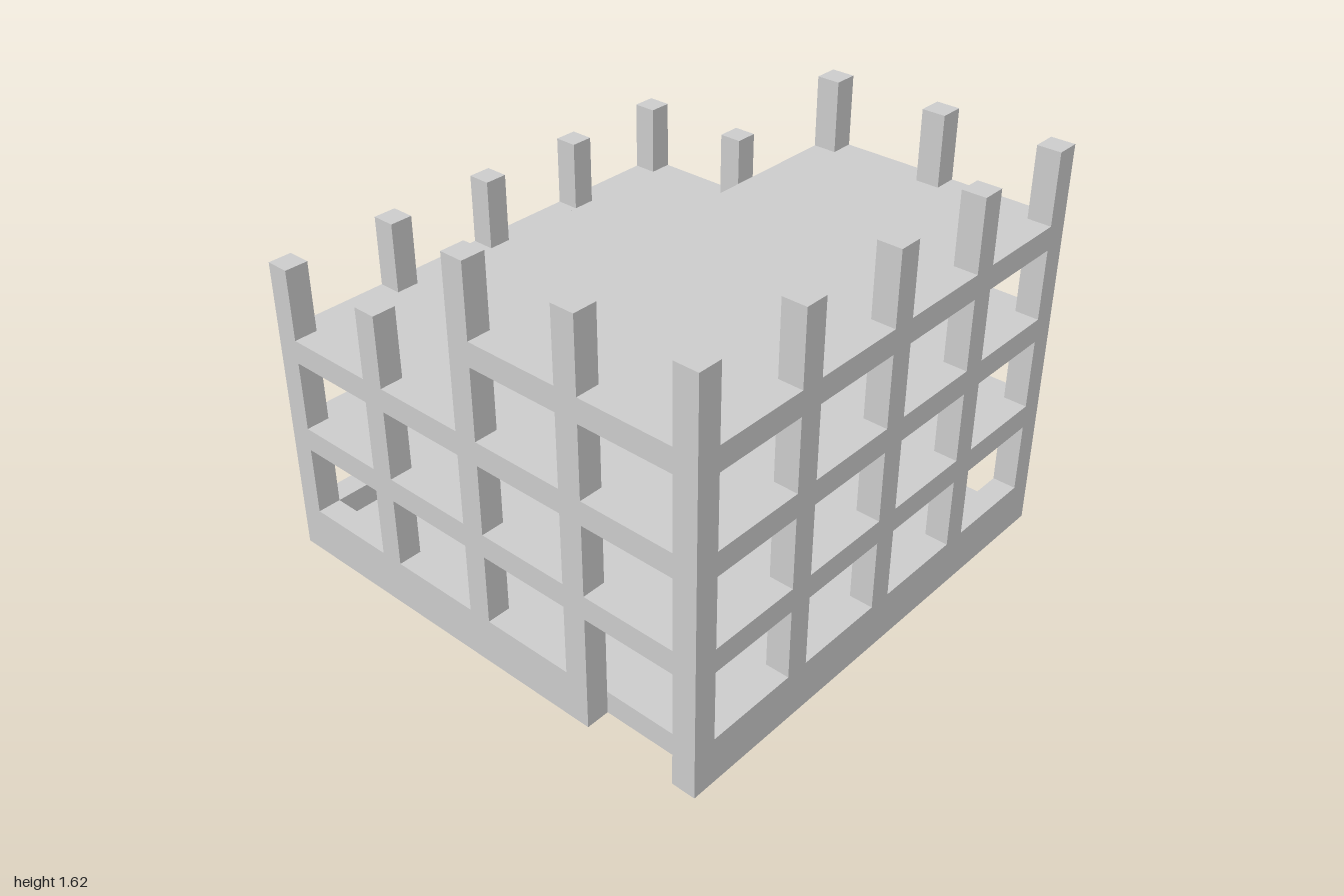
import * as THREE from 'three';

// Everything sits on a grid of 21 modules across 2 units
const U = 2 / 21;
const BAY = 5; // post spacing: one post plus a four-module opening
const FLOORS = [5, 9, 13]; // underside of each upper floor

const material = new THREE.MeshStandardMaterial({ color: 0xcccccc, flatShading: true });

// One frame wall: post tops per post, roof height per bay, optional door bay
function frameWall(name, posts, roofs, doorBay = -1) {
  const pt = (x, y) => new THREE.Vector2((x - 10.5) * U, y * U);
  const outline = [pt(0, 0)];
  if (doorBay >= 0) {
    const a = doorBay * BAY + 1, b = a + 4;
    outline.push(pt(a, 0), pt(a, 5), pt(b, 5), pt(b, 0));
  }
  outline.push(pt(21, 0));
  for (let i = posts.length - 1; i >= 0; i--) {
    const x = i * BAY;
    outline.push(pt(x + 1, posts[i]), pt(x, posts[i]));
    if (i > 0) outline.push(pt(x, roofs[i - 1]), pt(x - 4, roofs[i - 1]));
  }
  const shape = new THREE.Shape(outline);

  // Window openings under every floor beam
  roofs.forEach((roof, bay) => {
    const a = bay * BAY + 1, b = a + 4;
    FLOORS.forEach((top, level) => {
      if (top >= roof || (bay === doorBay && level === 0)) return;
      const sill = level === 0 ? 2 : FLOORS[level - 1] + 1;
      shape.holes.push(new THREE.Path([pt(a, sill), pt(a, top), pt(b, top), pt(b, sill)]));
    });
  });

  const geometry = new THREE.ExtrudeGeometry(shape, { depth: U, bevelEnabled: false });
  geometry.translate(0, 0, -U / 2);
  const mesh = new THREE.Mesh(geometry, material);
  mesh.name = name;
  return mesh;
}

// Floor plate between the walls, one module thick
function floorSlab(name, y, x0, x1) {
  const mesh = new THREE.Mesh(new THREE.BoxGeometry((x1 - x0) * U, U, 19 * U), material);
  mesh.position.set(((x0 + x1) / 2 - 10.5) * U, (y + 0.5) * U, 0);
  mesh.name = name;
  return mesh;
}

export function createModel() {
  const group = new THREE.Group();
  group.name = 'buildingFrame';

  // Front and back walls, stepped, with a doorway each
  for (const [name, s] of [['frontWall', 1], ['backWall', -1]]) {
    const wall = frameWall(name, [13, 13, 17, 17, 17], [10, 10, 14, 14], 3);
    wall.position.z = s * 10 * U;
    group.add(wall);
  }

  // Side walls: three storeys on the left (+x), two on the right
  for (const [name, s, post, roof] of [['leftWall', 1, 17, 14], ['rightWall', -1, 13, 10]]) {
    const wall = frameWall(name, Array(5).fill(post), Array(4).fill(roof));
    wall.rotation.y = Math.PI / 2;
    wall.position.x = s * 10 * U;
    group.add(wall);
  }

  // Floors; the top one covers only the taller half
  group.add(
    floorSlab('groundFloor', 0, 1, 20),
    floorSlab('firstFloor', FLOORS[0], 1, 20),
    floorSlab('secondFloor', FLOORS[1], 1, 20),
    floorSlab('upperRoof', FLOORS[2], 10, 20),
  );
  return group;
}
